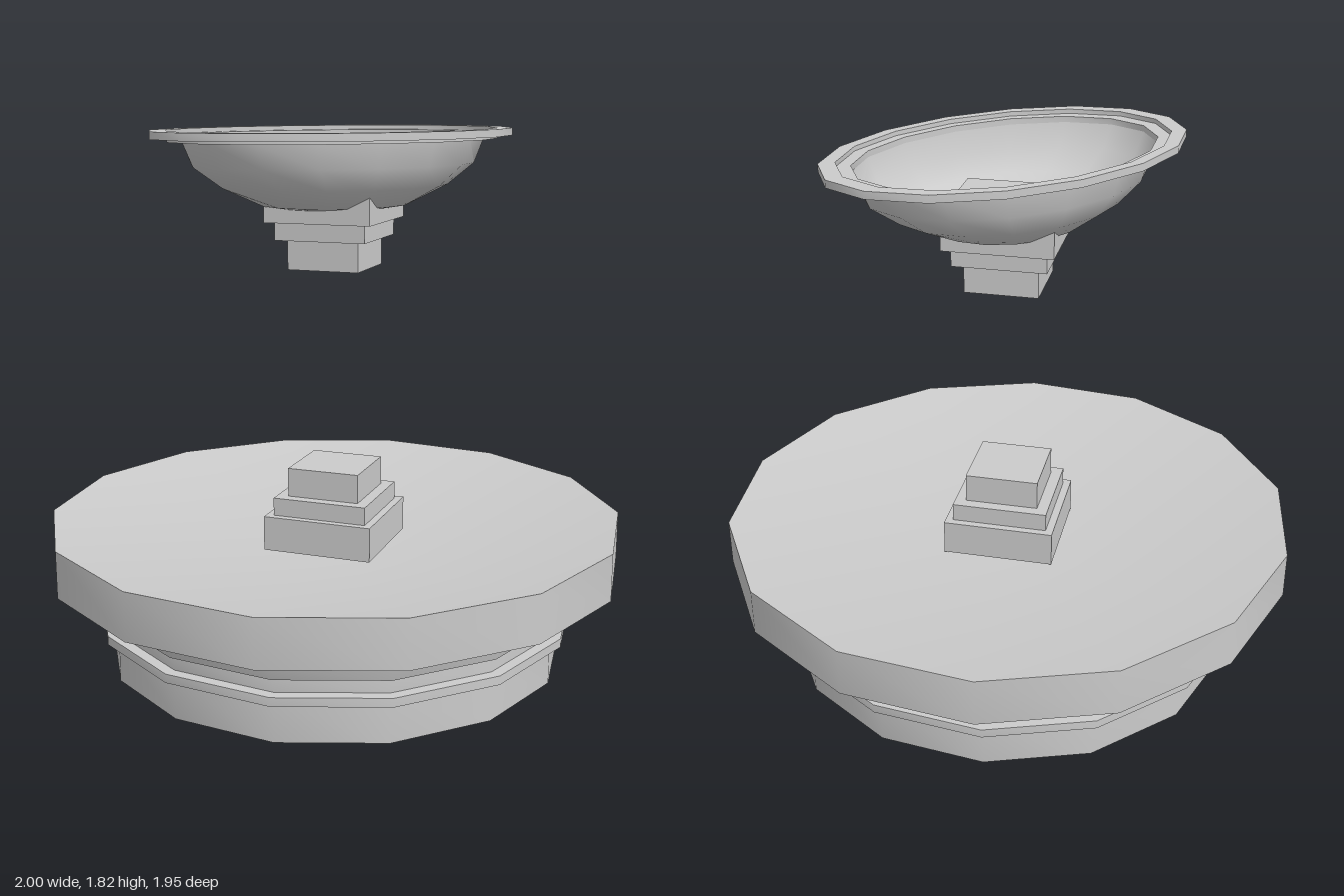
import * as THREE from 'three';
import { toCreasedNormals } from 'three/addons/utils/BufferGeometryUtils.js';

const material = new THREE.MeshStandardMaterial({ color: 0xcccccc, side: THREE.DoubleSide });
const flatMaterial = new THREE.MeshStandardMaterial({ color: 0xcccccc, flatShading: true });

// Faceted turning with a corner on the x axis; rows are [x radius, y, z radius if oval]
function turned(name, profile, sides) {
  const points = profile.map(([r, y]) => new THREE.Vector2(r, y));
  const geometry = new THREE.LatheGeometry(points, sides, Math.PI / 2);
  const position = geometry.attributes.position;
  for (let i = 0; i < position.count; i++) {
    const [rx, , rz = rx] = profile[i % profile.length];
    if (rx > 0) position.setZ(i, position.getZ(i) * rz / rx);
  }
  const mesh = new THREE.Mesh(toCreasedNormals(geometry, 0.75), material);
  mesh.name = name;
  return mesh;
}

// Stack of square blocks set cornerwise: [corner radius, bottom, top]
function steppedBlock(name, tiers) {
  const group = new THREE.Group();
  group.name = name;
  tiers.forEach(([r, bottom, top], i) => {
    const tier = new THREE.Mesh(new THREE.CylinderGeometry(r, r, top - bottom, 4), flatMaterial);
    tier.position.y = (bottom + top) / 2;
    tier.name = `${name}Tier${i + 1}`;
    group.add(tier);
  });
  return group;
}

export function createModel() {
  const model = new THREE.Group();
  model.name = 'tieredBasin';

  // Lower basin: drum, band, stepped mouldings, wide rim, shallow dished top
  model.add(turned('lowerBasin', [
    [0, 0], [0.8, 0], [0.8, 0.137],
    [0.838, 0.137], [0.838, 0.167], [0.8, 0.167],
    [0.8, 0.21], [0.818, 0.215], [0.83, 0.257],
    [0.855, 0.268], [0.866, 0.3],
    [1, 0.328], [1, 0.49], [0, 0.335],
  ], 14));

  // Stepped plinth standing in the dish
  model.add(steppedBlock('lowerPlinth', [
    [0.272, 0.388, 0.508], [0.235, 0.508, 0.57], [0.18, 0.57, 0.67],
  ]));

  // Inverted stepped support whose top shows inside the upper bowl
  model.add(steppedBlock('upperSupport', [
    [0.175, 1.36, 1.46], [0.222, 1.46, 1.52], [0.26, 1.52, 1.645],
  ]));

  // Thin oval bowl, steeper at front and back, with a stepped lip
  model.add(turned('upperBowl', [
    [0, 1.545, 0], [0.12, 1.55, 0.1], [0.26, 1.573, 0.215], [0.4, 1.635, 0.288],
    [0.5, 1.705, 0.325], [0.535, 1.785, 0.338],
    [0.585, 1.785, 0.369], [0.585, 1.795, 0.369],
    [0.642, 1.795, 0.403], [0.642, 1.82, 0.403], [0.585, 1.82, 0.369],
    [0.585, 1.805, 0.369], [0.535, 1.805, 0.338], [0.535, 1.785, 0.338],
  ], 16));

  return model;
}
